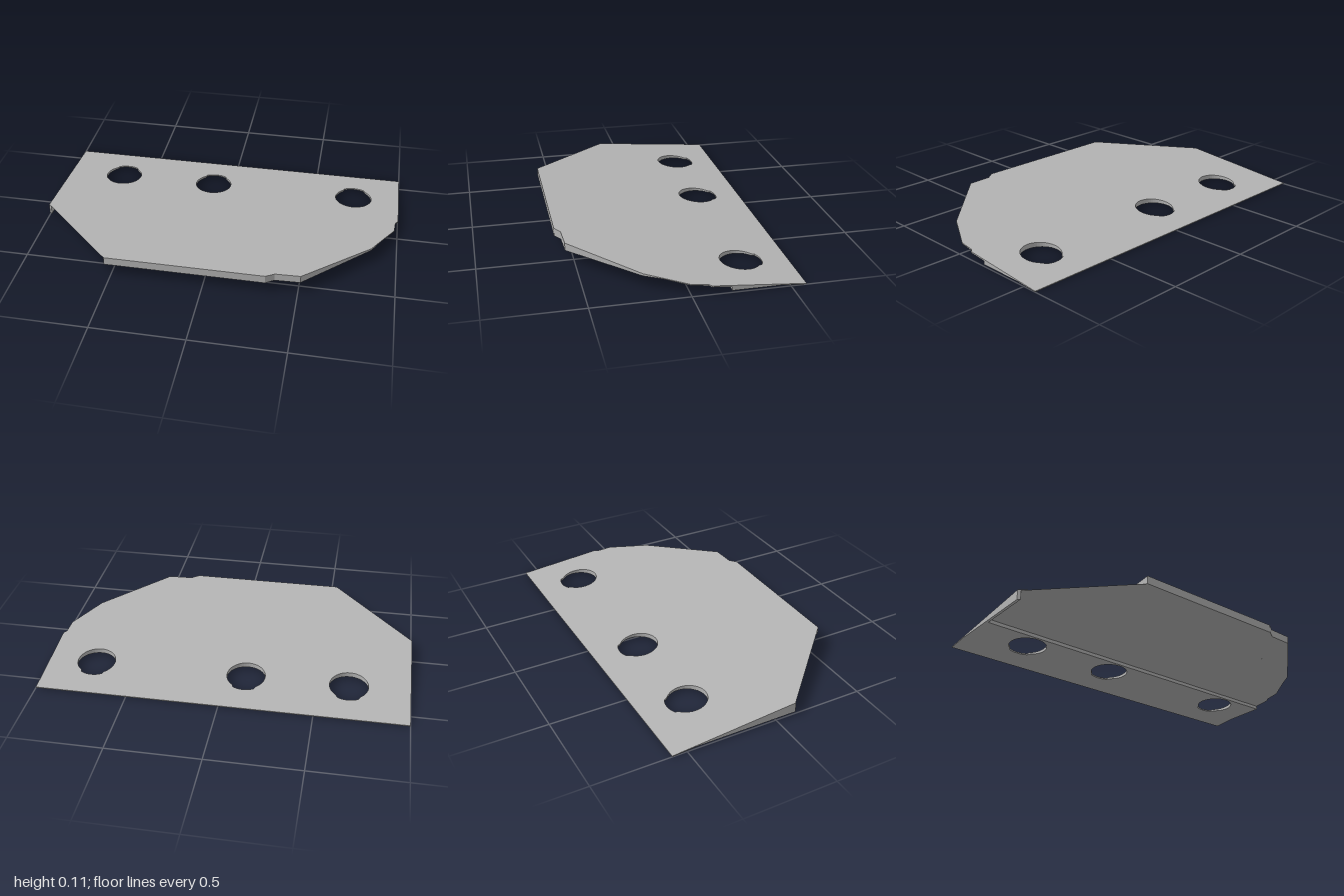
import * as THREE from 'three';

// Sloped plane of the upper surface
const top = (z) => 0.056 + 0.088 * z;

// Round hole; a notched one bulges slightly toward the back
function hole(cx, cz, r, notched) {
  const pts = [];
  const n = 48;
  for (let i = 0; i < n; i++) {
    const a = (i / n) * Math.PI * 2;
    const bulge = notched && Math.sin(a) > 0.8;
    const rr = bulge ? r * 1.1 : r;
    pts.push(new THREE.Vector2(cx + Math.cos(a) * rr, -cz + Math.min(Math.sin(a) * rr, 0.115)));
  }
  return new THREE.Path(pts);
}

// Slab with a plan outline of [x, z] points, between bottom(z) and upper(z)
function slab(name, material, outline, bottom, upper, holes = []) {
  const shape = new THREE.Shape(outline.map(([x, z]) => new THREE.Vector2(x, -z)));
  shape.holes.push(...holes);
  const geo = new THREE.ExtrudeGeometry(shape, { depth: 1, bevelEnabled: false });
  geo.rotateX(-Math.PI / 2);
  const p = geo.attributes.position;
  for (let i = 0; i < p.count; i++) {
    const z = p.getZ(i);
    p.setY(i, p.getY(i) > 0.5 ? upper(z) : bottom(z));
  }
  geo.computeVertexNormals();
  const mesh = new THREE.Mesh(geo, material);
  mesh.name = name;
  return mesh;
}

export function createModel() {
  const group = new THREE.Group();
  group.name = 'wedgePlate';
  const grey = new THREE.MeshStandardMaterial({ color: 0xb4b4b4 });
  grey.name = 'plain grey';

  // Thick front section with the stepped left corner and chamfered right corner
  group.add(slab('frontSection', grey,
    [[-0.992, 0.12], [0.911, 0.12], [0.86, 0.21], [0.51, 0.545], [0.375, 0.55], [0.33, 0.58],
      [-0.535, 0.58], [-0.535, 0.28], [-0.74, 0.28]],
    () => 0.062, top,
    [hole(-0.39, 0.24, 0.112), hole(0.45, 0.24, 0.112)]));

  // Thin middle section whose underside follows the slope
  group.add(slab('middleSection', grey,
    [[-1, -0.2], [1, -0.2], [1, -0.1], [0.985, -0.085], [0.98, 0], [0.911, 0.12],
      [-0.992, 0.12], [-1, 0.115]],
    (z) => 0.062 + (z - 0.12) * 0.1, top));

  // Rear foot block, flat underneath
  group.add(slab('rearBlock', grey,
    [[-1, -0.45], [1, -0.45], [1, -0.2], [-1, -0.2]],
    () => 0.01, top,
    [-0.67, -0.11, 0.735].map((x) => hole(x, -0.32, 0.105, true))));

  // Thin tapering back lip
  group.add(slab('backLip', grey,
    [[-1, -0.58], [1, -0.58], [1, -0.45], [-1, -0.45]],
    (z) => (z + 0.58) * 0.01 / 0.13, top));

  // Narrow skirt hanging below the right edge
  group.add(slab('sideSkirt', grey,
    [[-1, -0.2], [-0.985, -0.2], [-0.985, 0.125], [-1, 0.115]],
    () => 0.01, (z) => top(z) - 0.003));

  return group;
}
